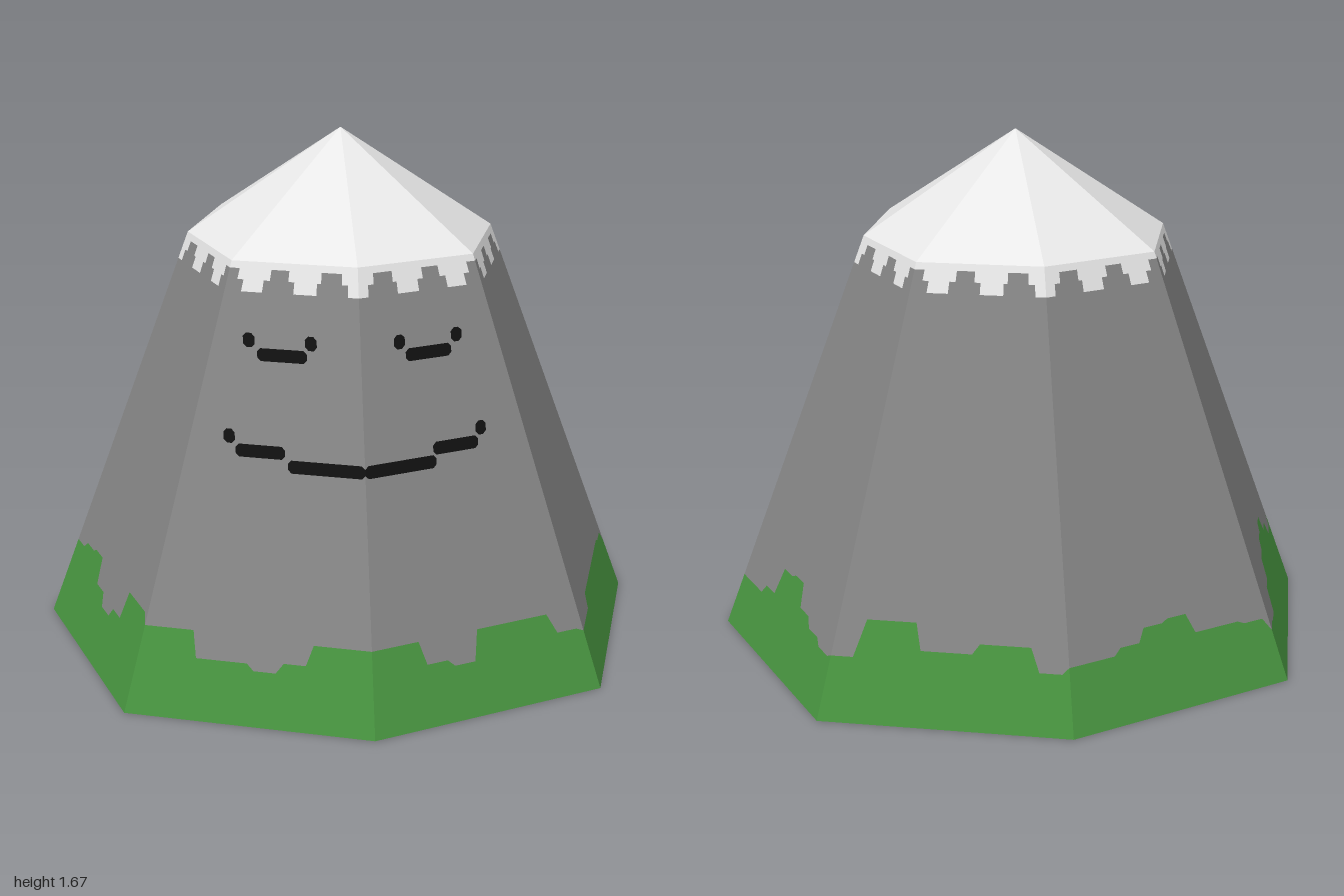
import * as THREE from 'three';

const H = 1.333, APEX = 1.667, COLS = 64;

// Grass height in eight steps per side, one row per side
const GRASS = [
  [.25, .25, .18, .16, .25, .25, .25, .19],
  [.18, .18, .22, .22, .22, .22, .22, .21],
  [.17, .17, .20, .29, .30, .23, .20, .18],
  [.19, .30, .30, .22, .22, .25, .25, .18],
  [.20, .20, .22, .26, .27, .21, .21, .20],
  [.16, .15, .22, .28, .31, .33, .27, .22],
  [.26, .28, .29, .21, .17, .20, .29, .29],
  [.26, .26, .18, .18, .16, .19, .25, .25],
].flat();

// Flat steps joined by short steep ramps
function grassAt(facet, u) {
  const t = facet * 8 + u * 8, i = Math.floor(t);
  const a = GRASS[i % 64], b = GRASS[(i + 1) % 64];
  return a + (b - a) * Math.max(0, (t - i - 0.75) * 4);
}

// Lower edge of the snow: stepped teeth, mirrored about each axis corner
function snowAt(facet, u) {
  const t = facet % 2 ? 1 - u : u;
  const d = Math.abs(t - 0.4 * Math.round(t / 0.4));
  return d < 0.08 ? 1.245 : d < 0.125 ? 1.28 : 1.312;
}

// Octagon corners run rightwards from the front; the diagonal ones sit further out
function corner(i) {
  const r = i % 2 ? 0.75 * Math.SQRT2 : 1, a = i * Math.PI / 4;
  return [r * Math.sin(a), r * Math.cos(a)];
}

// Point on a sloping side
function sidePoint(facet, u, y) {
  const a = corner(facet), b = corner(facet + 1), s = 1 - 0.5 * y / H;
  return [(a[0] + (b[0] - a[0]) * u) * s, y, (a[1] + (b[1] - a[1]) * u) * s];
}

function meshFrom(name, positions, material) {
  const g = new THREE.BufferGeometry();
  g.setAttribute('position', new THREE.Float32BufferAttribute(positions, 3));
  g.computeVertexNormals();
  const m = new THREE.Mesh(g, material);
  m.name = name;
  return m;
}

// Band around all sides between two height rules
function band(name, low, high, material) {
  const pos = [];
  for (let f = 0; f < 8; f++) {
    for (let i = 0; i < COLS; i++) {
      const u0 = i / COLS, u1 = (i + 1) / COLS, mid = (u0 + u1) / 2;
      const a = sidePoint(f, u0, low(f, u0, mid)), b = sidePoint(f, u1, low(f, u1, mid));
      const c = sidePoint(f, u1, high(f, u1, mid)), d = sidePoint(f, u0, high(f, u0, mid));
      pos.push(...a, ...b, ...c, ...a, ...c, ...d);
    }
  }
  return meshFrom(name, pos, material);
}

// Painted mark with clipped corners, laid on the front slope
function mark(name, x, y, width, height, material) {
  const c = 0.01, w = width / 2, h = height / 2;
  const shape = new THREE.Shape();
  shape.moveTo(x - w + c, y - h).lineTo(x + w - c, y - h).lineTo(x + w, y - h + c).lineTo(x + w, y + h - c);
  shape.lineTo(x + w - c, y + h).lineTo(x - w + c, y + h).lineTo(x - w, y + h - c).lineTo(x - w, y - h + c);
  const g = new THREE.ShapeGeometry(shape);
  const p = g.attributes.position;
  for (let i = 0; i < p.count; i++) p.setZ(i, 1 - 0.5 * p.getY(i) / H - Math.abs(p.getX(i)) / 3 + 0.004);
  g.computeVertexNormals();
  const m = new THREE.Mesh(g, material);
  m.name = name;
  return m;
}

export function createModel() {
  const rock = new THREE.MeshStandardMaterial({ color: 0x848484 });
  const grass = new THREE.MeshStandardMaterial({ color: 0x47933f });
  const snow = new THREE.MeshStandardMaterial({ color: 0xf5f5f5 });
  const ink = new THREE.MeshStandardMaterial({ color: 0x101010 });
  rock.name = 'rock grey';
  grass.name = 'grass green';
  snow.name = 'snow white';
  ink.name = 'ink black';

  const model = new THREE.Group();
  model.name = 'mountain';

  // Sloping sides: grass, rock and snow fringe meet edge to edge
  const snowEdge = (f, u, mid) => snowAt(f, mid);
  model.add(band('grassSkirt', () => 0, grassAt, grass));
  model.add(band('rockSlope', grassAt, snowEdge, rock));
  model.add(band('snowFringe', snowEdge, () => H, snow));

  // Snowy peak and flat underside
  const peak = [], base = [];
  for (let f = 0; f < 8; f++) {
    peak.push(...sidePoint(f, 0, H), ...sidePoint(f, 1, H), 0, APEX, 0);
    base.push(...sidePoint(f, 1, 0), ...sidePoint(f, 0, 0), 0, 0, 0);
  }
  model.add(meshFrom('snowPeak', peak, snow), meshFrom('underside', base, rock));

  // Face: closed eyes with upturned ends and a wide smile, set slightly off centre
  const face = new THREE.Group();
  face.name = 'face';
  for (const [side, s] of [['left', 1], ['right', -1]]) {
    const eye = s * 0.225 - 0.012;
    face.add(mark(side + 'Eye', eye + 0.003, 1.068, 0.148, 0.037, ink));
    face.add(mark(side + 'EyeInnerEnd', eye - s * 0.09, 1.108, 0.035, 0.041, ink));
    face.add(mark(side + 'EyeOuterEnd', eye + s * 0.095, 1.108, 0.035, 0.041, ink));
    face.add(mark(side + 'SmileMiddle', s * 0.114, 0.753, 0.228, 0.037, ink));
    face.add(mark(side + 'Smile', s * 0.301 - 0.008, 0.79, 0.148, 0.037, ink));
    face.add(mark(side + 'SmileEnd', s * 0.389 - 0.012, 0.829, 0.034, 0.041, ink));
  }
  model.add(face);
  return model;
}
